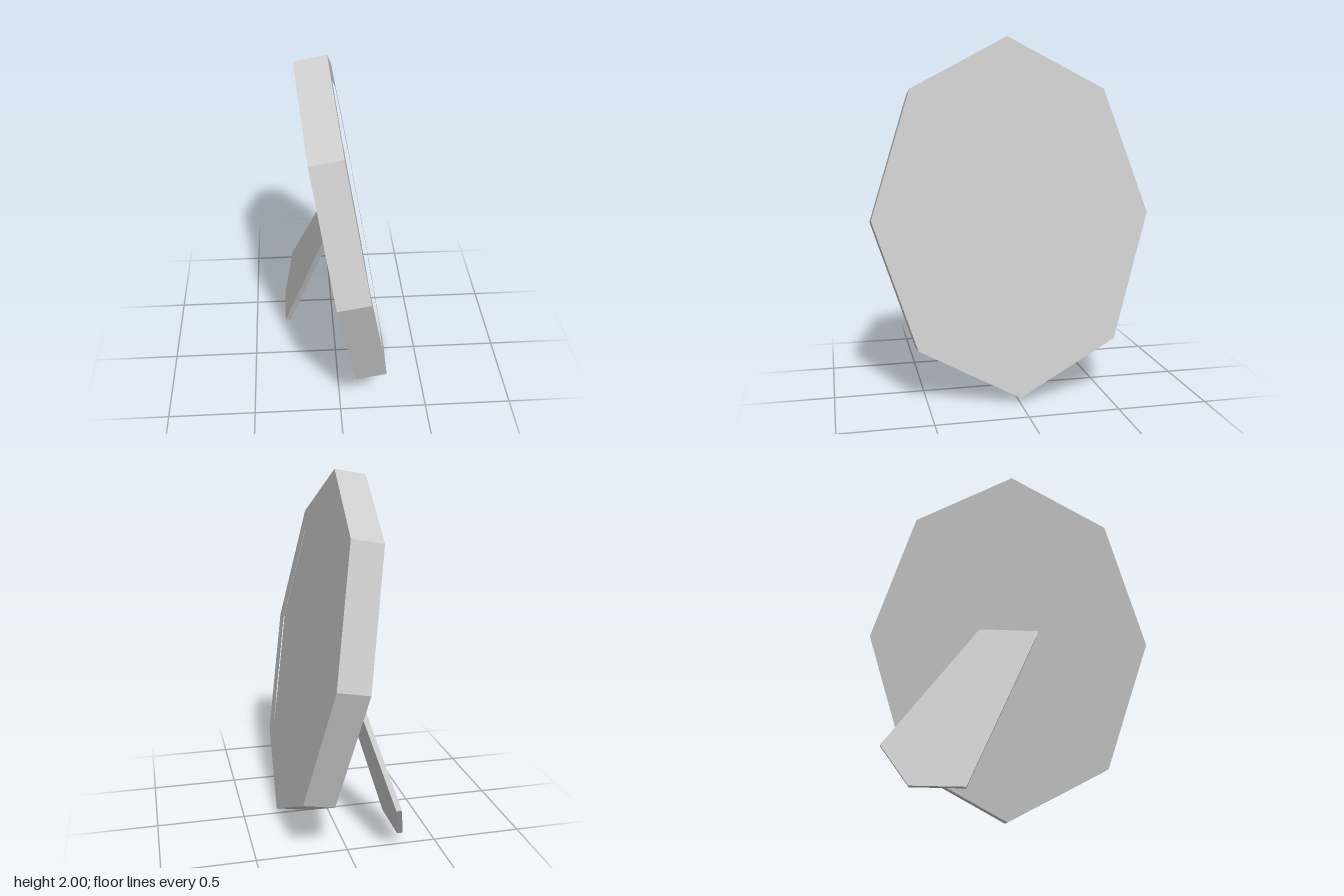
import * as THREE from 'three';

const material = new THREE.MeshStandardMaterial({ color: 0xcccccc, flatShading: true });

// Eight corners on an ellipse, one corner at the top
function octagon(scale) {
  return Array.from({ length: 8 }, (_, i) => {
    const a = (i * Math.PI) / 4;
    return new THREE.Vector2(0.78 * scale * Math.sin(a), scale * Math.cos(a));
  });
}

// Extrude an outline (-z, y) so that its thickness runs along +x from x0
function slab(shape, x0, depth) {
  return new THREE.ExtrudeGeometry(shape, { depth, bevelEnabled: false })
    .rotateY(Math.PI / 2)
    .translate(x0, 0, 0);
}

function addMesh(parent, name, geometry) {
  const mesh = new THREE.Mesh(geometry, material);
  mesh.name = name;
  parent.add(mesh);
}

export function createModel() {
  const model = new THREE.Group();
  model.name = 'standingFrame';

  // Frame leaning back by ten degrees, facing +x
  const thickness = 0.175, recess = 0.028;
  const frame = new THREE.Group();
  frame.name = 'frame';
  frame.position.set(0.045, 1, 0);
  frame.rotation.z = THREE.MathUtils.degToRad(10);
  model.add(frame);

  // Solid back body, whose front face is the recessed panel
  addMesh(frame, 'panelBody', slab(new THREE.Shape(octagon(1)), -thickness / 2, thickness - recess));

  // Raised rim around the panel
  const rim = new THREE.Shape(octagon(1));
  rim.holes.push(new THREE.Path(octagon(0.851)));
  addMesh(frame, 'rim', slab(rim, thickness / 2 - recess, recess));

  // Tapered easel leg, slanting sideways, its top buried in the frame
  const legOutline = [[0.068, 1.2], [-0.229, 1.2], [0.23, 0.07], [0.51, 0.07], [0.665, 0.29]];
  const leg = slab(new THREE.Shape(legOutline.map(([x, y]) => new THREE.Vector2(x, y))), -0.31, 0.031);
  // Lean the leg forwards to meet the back of the frame
  const p = leg.attributes.position;
  for (let i = 0; i < p.count; i++) p.setX(i, p.getX(i) + 0.265 * (p.getY(i) - 0.07));
  leg.computeVertexNormals();
  addMesh(model, 'supportLeg', leg);

  return model;
}
